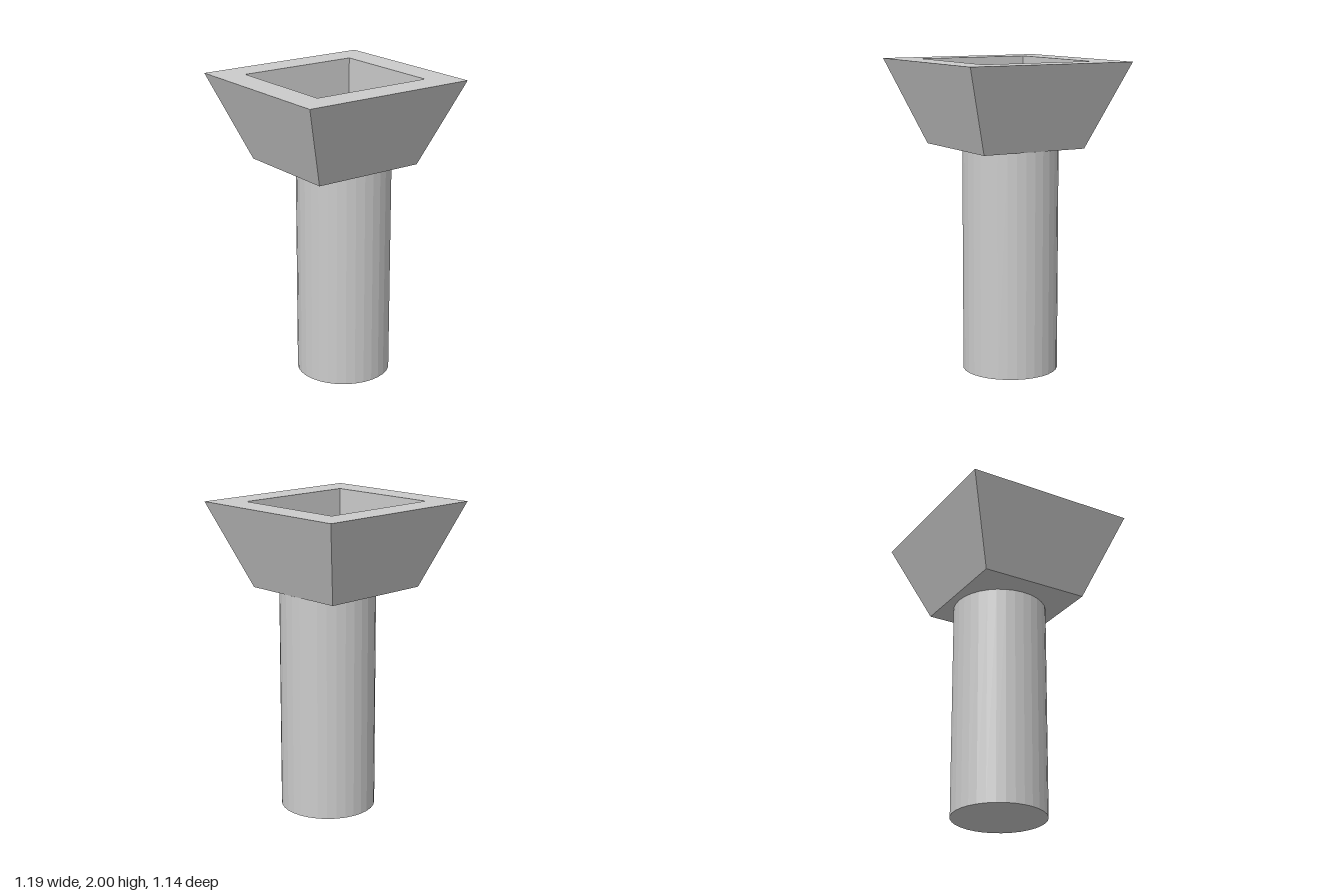
import * as THREE from 'three';

// Walled hopper: rectangular rings joined in order, closed at both ends
function hopperGeometry(rings) {
  const corners = rings.map(([x, y, z]) => [[x, y, z], [x, y, -z], [-x, y, -z], [-x, y, z]]);
  const positions = [];
  const quad = (a, b, c, d) => positions.push(...a, ...b, ...c, ...a, ...c, ...d);
  for (let r = 0; r < corners.length - 1; r++) {
    const lower = corners[r], upper = corners[r + 1];
    for (let i = 0; i < 4; i++) {
      const j = (i + 1) % 4;
      quad(lower[i], lower[j], upper[j], upper[i]);
    }
  }
  quad(...[...corners[0]].reverse()); // underside
  quad(...corners[corners.length - 1]); // cavity floor
  const geometry = new THREE.BufferGeometry();
  geometry.setAttribute('position', new THREE.Float32BufferAttribute(positions, 3));
  geometry.computeVertexNormals();
  return geometry;
}

export function createModel() {
  const group = new THREE.Group();
  group.name = 'hopperOnColumn';
  const material = new THREE.MeshStandardMaterial({ color: 0xcccccc, flatShading: true });

  // Faceted column, set slightly off centre
  const column = new THREE.Mesh(new THREE.CylinderGeometry(0.308, 0.308, 1.45, 32), material);
  column.name = 'column';
  column.position.set(0.075, 0.725, 0);
  group.add(column);

  // Flared outside with a straight-walled cavity: half width, height, half depth
  const hopper = new THREE.Mesh(hopperGeometry([
    [0.38, 1.45, 0.362], // outer base
    [0.597, 2, 0.572], // outer rim
    [0.41, 2, 0.385], // inner rim
    [0.41, 1.54, 0.385], // cavity floor
  ]), material);
  hopper.name = 'hopper';
  group.add(hopper);

  return group;
}
